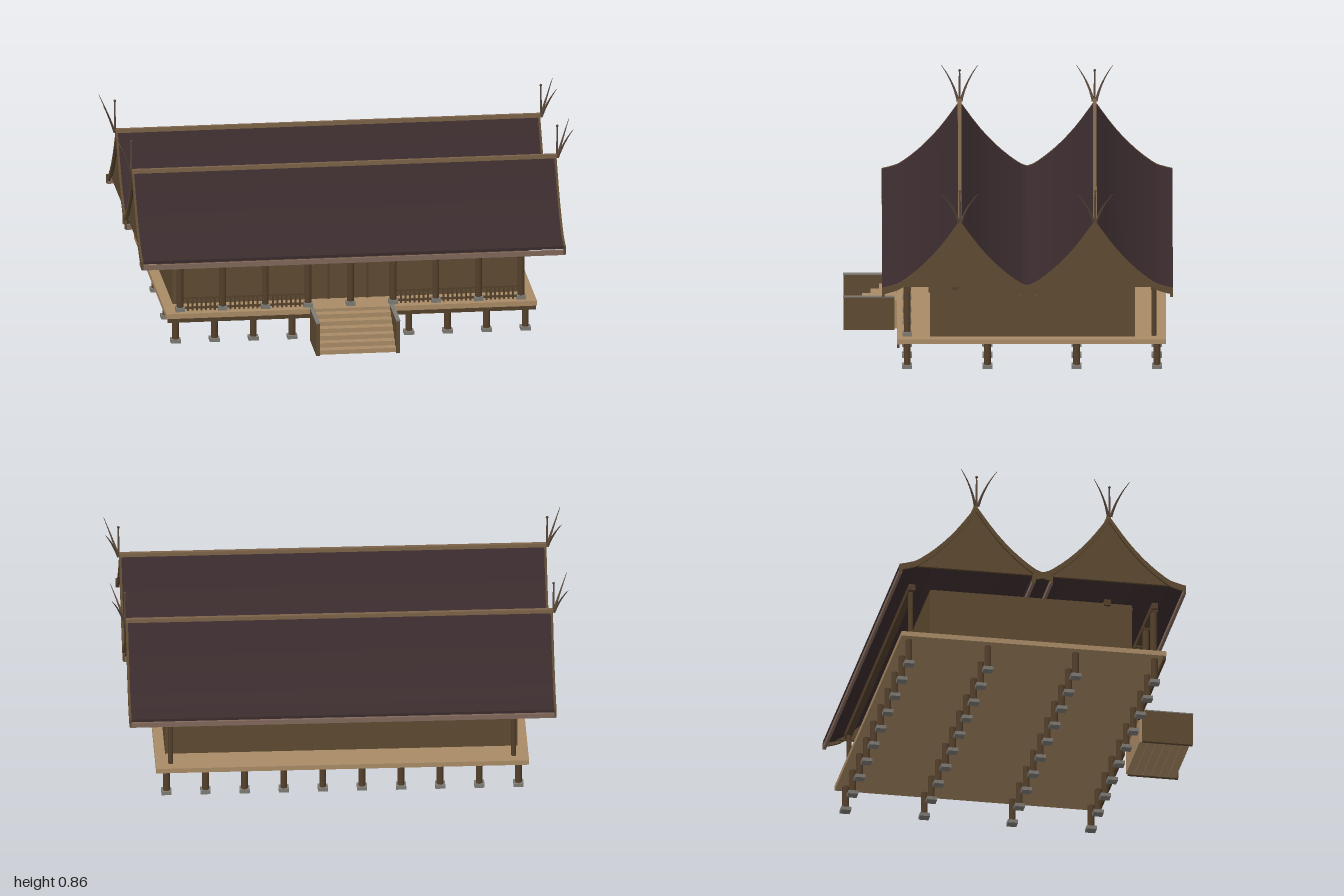
import * as THREE from 'three';

const mat = (name, color, side = THREE.FrontSide) => {
  const m = new THREE.MeshStandardMaterial({ color, side });
  m.name = name;
  return m;
};

export function createModel() {
  const roofMat = mat('roof shingle', 0x3a2b2d);
  const wallMat = mat('wall timber', 0x5e4a31);
  const postMat = mat('post timber', 0x54402b);
  const plankMat = mat('pale plank', 0xa98b66);
  const beamMat = mat('beam timber', 0x80675a);
  const trimMat = mat('ridge timber', 0x7b6248);
  const stoneMat = mat('grey stone', 0x7d7a74);
  const hornMat = mat('horn timber', 0x5b4a3c);

  const model = new THREE.Group();
  model.name = 'hall';
  const add = (name, geo, material, x = 0, y = 0, z = 0, parent = model) => {
    const mesh = new THREE.Mesh(geo, material);
    mesh.name = name;
    mesh.position.set(x, y, z);
    parent.add(mesh);
    return mesh;
  };
  // Box given by its limits on each axis
  const box = (name, m, x0, x1, y0, y1, z0, z1, parent) =>
    add(name, new THREE.BoxGeometry(x1 - x0, y1 - y0, z1 - z0), m,
      (x0 + x1) / 2, (y0 + y1) / 2, (z0 + z1) / 2, parent);
  const pillar = (name, m, x, z, y0, y1, r) =>
    add(name, new THREE.CylinderGeometry(r, r, y1 - y0, 12), m, x, (y0 + y1) / 2, z);

  // Raised floor on a grid of stilts
  box('floor', plankMat, -0.815, 0.815, 0.12, 0.142, -0.69, 0.485);
  for (const z of [0.44, 0.09, -0.3, -0.65]) {
    for (let i = 0; i < 10; i++) {
      const x = -0.77 + i * 0.171;
      pillar('stilt', postMat, x, z, 0.015, 0.12, 0.015);
      box('stiltFoot', stoneMat, x - 0.022, x + 0.022, 0, 0.016, z - 0.022, z + 0.022);
    }
  }
  for (const s of [-1, 1]) {
    box('floorEdgeBeam', postMat, Math.min(s * 0.81, s * 0.18), Math.max(s * 0.81, s * 0.18),
      0.102, 0.125, 0.474, 0.484);
  }

  // Walled hall
  box('walls', wallMat, -0.77, 0.77, 0.142, 0.372, -0.555, 0.34);
  for (const x of [-0.085, 0.085]) {
    box('doorFrame', postMat, x - 0.005, x + 0.005, 0.142, 0.355, 0.34, 0.346);
  }
  box('wallHead', postMat, -0.77, 0.77, 0.35, 0.36, 0.34, 0.346);

  // Porch columns with stone bases and capitals
  const step = 0.1875;
  for (let i = -4; i <= 4; i++) {
    const x = i * step;
    pillar('porchColumn', postMat, x, 0.44, 0.142, 0.36, 0.015);
    box('columnBase', stoneMat, x - 0.02, x + 0.02, 0.142, 0.16, 0.42, 0.46);
    box('columnCapital', postMat, x - 0.02, x + 0.02, 0.35, 0.362, 0.423, 0.457);
  }
  for (const s of [-1, 1]) pillar('rearCornerColumn', postMat, s * 0.75, -0.638, 0.142, 0.36, 0.011);
  for (const z of [0.44, 0.23, -0.638]) {
    box('headBeam', postMat, -0.785, 0.785, 0.358, 0.385, z - 0.014, z + 0.014);
  }

  // Railings, leaving the two middle bays open
  for (const i of [-4, -3, -2, 1, 2, 3]) {
    const x0 = i * step + 0.015, x1 = (i + 1) * step - 0.015;
    for (const y of [0.155, 0.2]) box('rail', postMat, x0, x1, y - 0.004, y + 0.004, 0.435, 0.445);
    for (let k = 1; k < 8; k++) {
      const x = x0 + (x1 - x0) * k / 8;
      box('baluster', postMat, x - 0.004, x + 0.004, 0.142, 0.2, 0.436, 0.444);
    }
  }

  // Front stairs between side boards
  const steps = 6;
  for (let i = 0; i < steps; i++) {
    const z0 = 0.485 + i * 0.037, y = 0.128 - i * 0.021;
    box('stairBlock', plankMat, -0.168, 0.168, 0.002, y - 0.005, z0, z0 + 0.036);
    box('stairTread', plankMat, -0.168, 0.168, y - 0.005, y, z0, z0 + 0.041);
  }
  for (const s of [-1, 1]) {
    box('stairSide', wallMat, s * 0.176 - 0.008, s * 0.176 + 0.008, 0, 0.147, 0.495, 0.718);
    box('stairSideCap', stoneMat, s * 0.176 - 0.009, s * 0.176 + 0.009, 0.147, 0.152, 0.494, 0.72);
  }

  // Swept roof profile: [distance from ridge, height]
  const half = new THREE.SplineCurve([[0, 0.715], [0.085, 0.597], [0.17, 0.505], [0.255, 0.437],
    [0.3, 0.418], [0.34, 0.408]].map(p => new THREE.Vector2(...p))).getPoints(14);
  const line = [...half.slice(1).reverse().map(p => new THREE.Vector2(-p.x, p.y)), ...half];
  const strip = t => new THREE.Shape([...line].reverse()
    .concat(line.map(p => new THREE.Vector2(p.x, p.y - t))));
  // Extrude a cross-section along x, centred
  const along = (shape, length) => new THREE.ExtrudeGeometry(shape,
    { depth: length, bevelEnabled: false }).translate(0, 0, -length / 2).rotateY(Math.PI / 2);
  const gableShape = new THREE.Shape([...line].reverse()
    .filter(p => Math.abs(p.x) < 0.31).map(p => new THREE.Vector2(p.x, p.y - 0.008)));

  for (const ridgeZ of [0.21, -0.38]) {
    const roof = new THREE.Group();
    roof.name = ridgeZ > 0 ? 'frontRoof' : 'rearRoof';
    roof.position.z = ridgeZ;
    model.add(roof);
    add('roofSheet', along(strip(0.012), 1.85), roofMat, 0, 0, 0, roof);
    box('ridgeBeam', trimMat, -0.935, 0.935, 0.706, 0.724, -0.008, 0.008, roof);
    for (const s of [-1, 1]) {
      add('gable', along(gableShape, 0.012), wallMat, s * 0.912, 0, 0, roof);
      add('gableBoard', along(strip(0.028), 0.01), wallMat, s * 0.929, 0.001, 0, roof);
      box('eaveBeam', beamMat, -0.93, 0.93, 0.368, 0.39, s * 0.334 - 0.006, s * 0.334 + 0.006, roof);
      for (const e of [-1, 1]) {
        box('gableBoardTip', wallMat, e * 0.929 - 0.005, e * 0.929 + 0.005, 0.37, 0.4,
          s * 0.335 - 0.006, s * 0.335 + 0.006, roof);
      }

      // Finial: upright rod with a ball, and two tapering horns
      add('finialRod', new THREE.CylinderGeometry(0.003, 0.005, 0.14, 8), hornMat, s * 0.937, 0.782, 0, roof);
      add('finialBall', new THREE.SphereGeometry(0.006, 10, 8), hornMat, s * 0.937, 0.852, 0, roof);
      for (const d of [-1, 1]) {
        const path = new THREE.QuadraticBezierCurve3(new THREE.Vector3(s * 0.938, 0.71, d * 0.006),
          new THREE.Vector3(s * 0.965, 0.79, d * 0.025), new THREE.Vector3(s * 0.998, 0.858, d * 0.08));
        const n = 12, ring = 7;
        const geo = new THREE.TubeGeometry(path, n, 0.0065, ring - 1);
        const pos = geo.attributes.position, v = new THREE.Vector3();
        for (let i = 0; i < pos.count; i++) {
          const t = Math.floor(i / ring) / n, c = path.getPointAt(t);
          v.fromBufferAttribute(pos, i).sub(c).multiplyScalar(1 - 0.85 * t).add(c);
          pos.setXYZ(i, v.x, v.y, v.z);
        }
        add('finialHorn', geo, hornMat, 0, 0, 0, roof);
      }
    }
  }
  return model;
}
